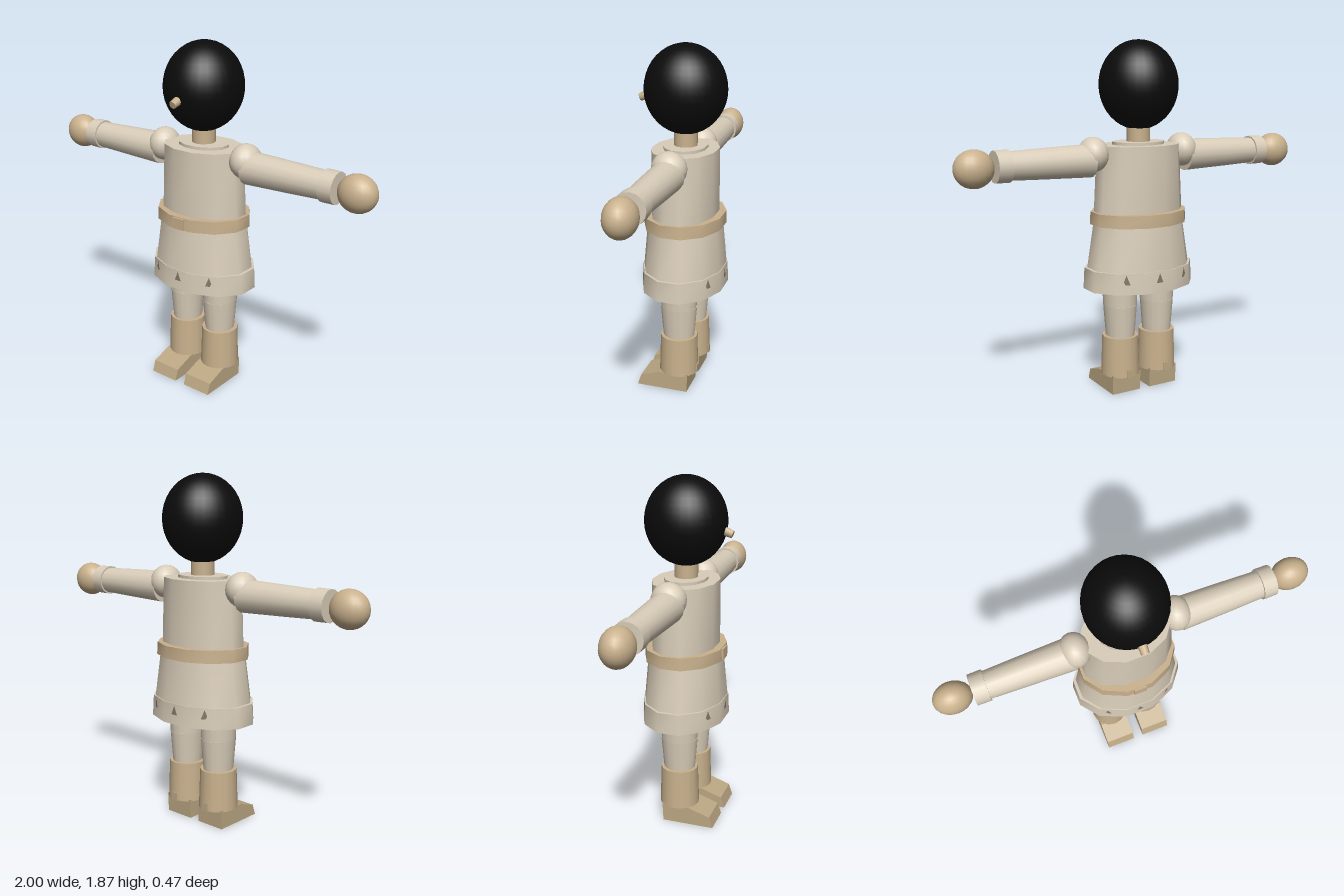
import * as THREE from 'three';

const mat = (name, color, flatShading = false) => {
  const m = new THREE.MeshStandardMaterial({ color });
  m.name = name;
  m.flatShading = flatShading;
  return m;
};

export function createModel() {
  const root = new THREE.Group();
  root.name = 'doll';
  const cloth = mat('cream cloth', 0xd9cdb9);
  const tan = mat('tan leather', 0xc9b18d);
  const shoe = mat('shoe leather', 0xbda884, true);
  const black = mat('black hair', 0x0b0b0b);
  const trim = mat('brown trim', 0x877a6b);
  trim.side = THREE.DoubleSide;
  const ZC = -0.015;

  const add = (name, geo, material, parent = root) => {
    const m = new THREE.Mesh(geo, material);
    m.name = name;
    parent.add(m);
    return m;
  };

  // twelve-sided oval section, faces to the front; sizes are half extents
  const C15 = Math.cos(Math.PI / 12);
  const section = (name, y0, y1, w0, w1, d0, d1, material) => {
    const g = new THREE.CylinderGeometry(w1 / C15, w0 / C15, y1 - y0, 12, 1);
    g.rotateY(Math.PI / 12);
    const p = g.attributes.position;
    for (let i = 0; i < p.count; i++) {
      p.setZ(i, p.getZ(i) * (p.getY(i) > 0 ? d1 / w1 : d0 / w0));
    }
    g.computeVertexNormals();
    // keep the normals continuous across the wrap seam
    const n = g.attributes.normal;
    for (const r of [0, 13]) {
      const v = new THREE.Vector3(n.getX(r) + n.getX(r + 12), n.getY(r) + n.getY(r + 12), n.getZ(r) + n.getZ(r + 12)).normalize();
      n.setXYZ(r, v.x, v.y, v.z);
      n.setXYZ(r + 12, v.x, v.y, v.z);
    }
    g.translate(0, (y0 + y1) / 2, ZC);
    return add(name, g, material);
  };

  // body and clothes
  section('torso', 0.95, 1.33, 0.245, 0.224, 0.168, 0.168, cloth);
  section('collar', 1.32, 1.345, 0.14, 0.14, 0.11, 0.11, cloth);
  section('skirt', 0.66, 0.96, 0.284, 0.238, 0.213, 0.187, cloth);
  section('skirtHem', 0.577, 0.688, 0.302, 0.296, 0.22, 0.214, cloth);
  section('belt', 0.918, 0.984, 0.262, 0.258, 0.208, 0.206, tan);
  add('buckle', new THREE.BoxGeometry(0.07, 0.06, 0.02), tan).position.set(0, 0.95, 0.192);

  // triangles around the hem
  const tri = new THREE.Shape([[-0.02, 0], [0.02, 0], [0, 0.05]].map(([x, y]) => new THREE.Vector2(x, y)));
  for (const [x, z, turn] of [
    [0, 0.206, 0], [0.175, 0.163, 0.5], [-0.175, 0.163, -0.5],
    [0, -0.236, Math.PI], [0.175, -0.193, Math.PI - 0.5], [-0.175, -0.193, Math.PI + 0.5],
  ]) {
    const t = add('hemTriangle', new THREE.ShapeGeometry(tri), trim);
    t.position.set(x, 0.63, z);
    t.rotation.y = turn;
  }

  // head
  add('neck', new THREE.CylinderGeometry(0.062, 0.062, 0.12, 16), tan).position.set(0, 1.385, ZC);
  const head = add('hair', new THREE.SphereGeometry(1, 32, 20), black);
  head.scale.set(0.205, 0.23, 0.215);
  head.position.set(0, 1.635, ZC);
  const nose = add('nose', new THREE.CylinderGeometry(0.02, 0.026, 0.07, 8), tan);
  nose.position.set(0, 1.59, 0.198);
  nose.rotation.x = Math.PI / 2 + 0.35;

  for (const s of [1, -1]) {
    // arms run outward along x
    const arm = new THREE.Group();
    arm.name = s > 0 ? 'leftArm' : 'rightArm';
    arm.position.set(0, 1.258, ZC);
    root.add(arm);
    const sleeve = (name, x0, x1, r0, r1) => {
      const g = new THREE.CylinderGeometry(r1, r0, x1 - x0, 16);
      g.rotateZ(-s * Math.PI / 2);
      add(name, g, cloth, arm).position.x = s * (x0 + x1) / 2;
    };
    const ball = add('shoulder', new THREE.SphereGeometry(1, 16, 12), cloth, arm);
    ball.scale.set(0.08, 0.09, 0.092);
    ball.position.set(s * 0.268, 0.03, 0);
    sleeve('upperArm', 0.285, 0.55, 0.086, 0.078);
    sleeve('forearm', 0.55, 0.74, 0.078, 0.071);
    sleeve('cuff', 0.727, 0.8, 0.081, 0.08);
    const hand = add('hand', new THREE.SphereGeometry(1, 20, 14), tan, arm);
    hand.scale.set(0.1, 0.094, 0.08);
    hand.position.set(s * 0.9, -0.004, 0);

    // legs
    const leg = new THREE.Group();
    leg.name = s > 0 ? 'leftLeg' : 'rightLeg';
    leg.position.set(s * 0.114, 0, ZC);
    root.add(leg);
    const tube = (name, y0, y1, r0, r1, material, deep = 1.08) => {
      const m = add(name, new THREE.CylinderGeometry(r1, r0, y1 - y0, 16), material, leg);
      m.scale.z = deep;
      m.position.y = (y0 + y1) / 2;
    };
    tube('thigh', 0.48, 0.62, 0.09, 0.095, cloth);
    tube('shin', 0.29, 0.48, 0.075, 0.089, cloth, 1.12);
    tube('boot', 0.095, 0.31, 0.104, 0.097, tan, 1.03);

    // wedge foot, extruded from its side outline
    const side = new THREE.Shape([
      [0.2, 0], [0.18, 0.06], [0.07, 0.097], [-0.088, 0.105], [-0.083, 0],
    ].map(([z, y]) => new THREE.Vector2(-z, y)));
    const g = new THREE.ExtrudeGeometry(side, { depth: 0.168, bevelEnabled: false });
    g.translate(0, 0, -0.084);
    g.rotateY(Math.PI / 2);
    add('foot', g, shoe, leg).position.set(0, 0, -ZC);
    add('heelTab', new THREE.BoxGeometry(0.03, 0.045, 0.03), shoe, leg).position.set(0, 0.115, -0.093);
  }
  return root;
}
